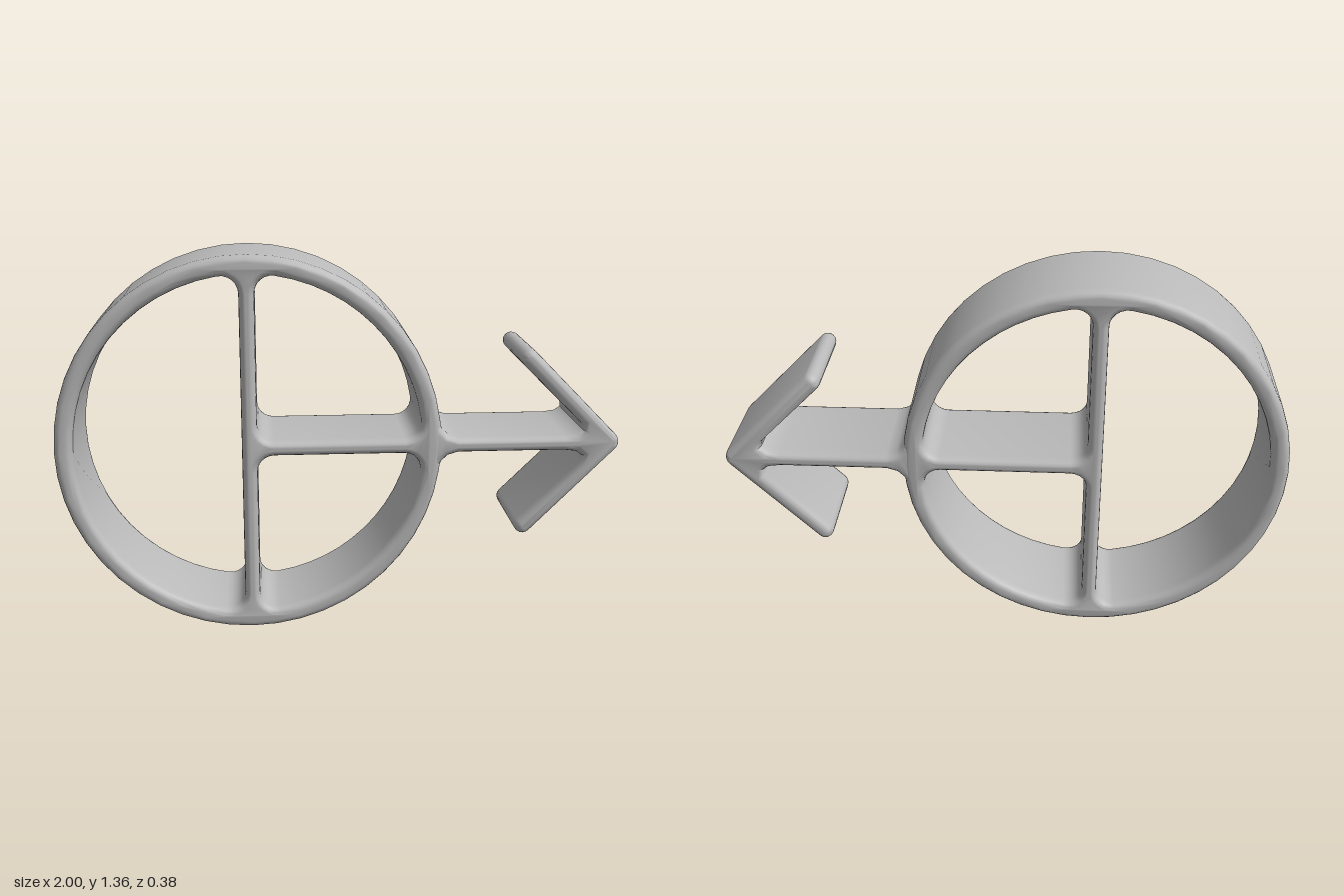
import * as THREE from 'three';
import { toCreasedNormals } from 'three/addons/utils/BufferGeometryUtils.js';

const PI = Math.PI;
const CENTER = new THREE.Vector2(-0.32, 0.68); // hub of the ring
const OUTER = 0.68, INNER = 0.614;             // ring radii
const BAR = 0.027, FILLET = 0.06;              // half bar width, corner radius

// Points along a circular arc, ends included
function arc(cx, cy, r, from, to, steps) {
  const pts = [];
  for (let i = 0; i <= steps; i++) {
    const a = from + (to - from) * i / steps;
    pts.push(new THREE.Vector2(cx + r * Math.cos(a), cy + r * Math.sin(a)));
  }
  return pts;
}

// Joins runs of points and drops those that coincide
function outline(...runs) {
  const pts = runs.flat();
  return pts.filter((p, i) => p.distanceTo(pts[(i + 1) % pts.length]) > 1e-5);
}

const mirrorY = (pts) => pts.map((p) => new THREE.Vector2(p.x, -p.y)).reverse();

// Extrudes a profile along z with softly rounded rims
function roundedPlate(name, shape, halfDepth, material) {
  const thick = 0.035, size = 0.023;
  const geometry = new THREE.ExtrudeGeometry(shape, {
    depth: 2 * (halfDepth - thick), steps: 1, bevelEnabled: true, bevelThickness: thick,
    bevelSize: size, bevelOffset: -size, bevelSegments: 4,
  });
  geometry.translate(0, 0, thick - halfDepth);
  const mesh = new THREE.Mesh(toCreasedNormals(geometry, PI / 4), material);
  mesh.name = name;
  return mesh;
}

// Ring with a vertical bar and a half-length horizontal bar, corners filleted
function ringShape() {
  const shape = new THREE.Shape(outline(arc(0, 0, OUTER, 0, 2 * PI, 48)));
  const e = BAR + FILLET;
  const c = Math.sqrt((INNER - FILLET) ** 2 - e ** 2);
  const a = Math.atan2(e, c);
  const halfOpening = outline(
    arc(0, 0, INNER, PI / 2 + a, 1.5 * PI - a, 24),
    arc(-e, -c, FILLET, 1.5 * PI - a, 2 * PI, 6),
    arc(-e, c, FILLET, 0, PI / 2 + a, 6),
  );
  const quarterOpening = outline(
    arc(c, e, FILLET, -PI / 2, a, 6),
    arc(0, 0, INNER, a, PI / 2 - a, 12),
    arc(e, c, FILLET, PI / 2 - a, PI, 6),
    arc(e, e, FILLET, PI, 1.5 * PI, 6),
  );
  for (const opening of [halfOpening, quarterOpening, mirrorY(quarterOpening)]) {
    shape.holes.push(new THREE.Path(opening));
  }
  return shape;
}

// Shaft flaring into the ring, and a swept arrowhead with round tips
function arrowShape() {
  const edge = [
    [0.315, 0.09], [0.345, 0.09], [0.362, 0.058], [0.383, 0.038], [0.42, BAR],
    [0.8, BAR], [0.845, 0.033], [0.866, 0.047], [0.863, 0.069],
  ].map(([x, y]) => new THREE.Vector2(x, y));
  const upper = [
    ...edge,
    ...arc(0.665, 0.31, 0.031, 1.25 * PI, 0.25 * PI, 8),
    ...arc(0.963, 0, 0.037, 0.25 * PI, 0, 4),
  ];
  return new THREE.Shape(outline(upper, mirrorY(upper)));
}

export function createModel() {
  const model = new THREE.Group();
  model.name = 'ringWithArrow';
  const grey = new THREE.MeshStandardMaterial({ color: 0xbababa });
  grey.name = 'grey';

  const ring = roundedPlate('ringAndBars', ringShape(), 0.19, grey);
  ring.position.set(CENTER.x, CENTER.y, 0);
  const arrow = roundedPlate('arrow', arrowShape(), 0.188, grey);
  arrow.position.y = CENTER.y;
  model.add(ring, arrow);
  return model;
}
